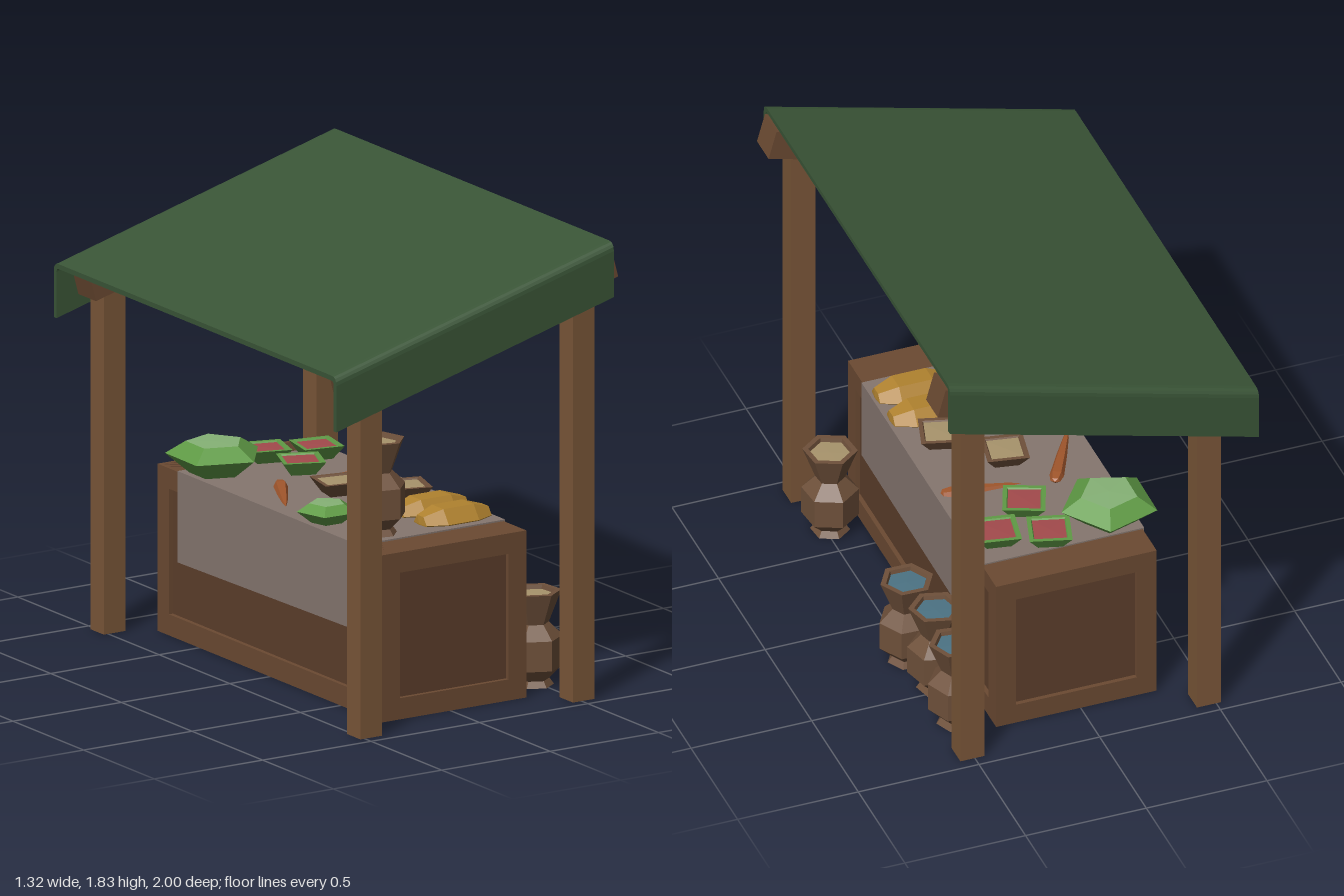
import * as THREE from 'three';

const mat = (color, side = THREE.FrontSide) =>
  new THREE.MeshStandardMaterial({ color, flatShading: true, side });
const M = {
  canopy: mat(0x3a5537), post: mat(0x7a5638), counter: mat(0x6b4a32), panel: mat(0x5c3e2b),
  cloth: mat(0x85766f), jar: mat(0x6e503a), green: mat(0x5f9a45), paleGreen: mat(0x86b276),
  red: mat(0xa34a4c), grain: mat(0xa8946c), water: mat(0x4c7384), bread: mat(0xb0822f), carrot: mat(0xa0562c),
};
const TOP = 0.68; // height of the covered table top

export function createModel() {
  const root = new THREE.Group();
  const add = (name, geo, material, x = 0, y = 0, z = 0, parent = root) => {
    const m = new THREE.Mesh(geo, material);
    m.name = name;
    m.position.set(x, y, z);
    parent.add(m);
    return m;
  };
  const group = (name, x, y, z, turn = 0) => {
    const g = new THREE.Group();
    g.name = name;
    g.position.set(x, y, z);
    g.rotation.y = turn;
    root.add(g);
    return g;
  };
  const lathe = (pts, sides) =>
    new THREE.LatheGeometry(pts.map(p => new THREE.Vector2(...p)), sides);
  const disc = (r, sides) => lathe([[r, 0], [0, 0.002]], sides);

  // Canopy: a channel with rounded shoulders, sheared so it climbs towards +x
  const slope = 0.273, len = 1.28, h = 0.22, t = 0.02, r = 0.035;
  const s = new THREE.Shape();
  s.moveTo(-1, -h);
  s.lineTo(-1 + t, -h);
  s.lineTo(-1 + t, -r);
  s.quadraticCurveTo(-1 + t, -t, -1 + r, -t);
  s.lineTo(1 - r, -t);
  s.quadraticCurveTo(1 - t, -t, 1 - t, -r);
  s.lineTo(1 - t, -h);
  s.lineTo(1, -h);
  s.lineTo(1, -r);
  s.quadraticCurveTo(1, 0, 1 - r, 0);
  s.lineTo(-1 + r, 0);
  s.quadraticCurveTo(-1, 0, -1, -r);
  s.closePath();
  const canopy = new THREE.ExtrudeGeometry(s, { depth: len, bevelEnabled: false, curveSegments: 4 });
  canopy.translate(0, 0, -len / 2).rotateY(Math.PI / 2);
  const cp = canopy.attributes.position;
  for (let i = 0; i < cp.count; i++) cp.setY(i, cp.getY(i) + slope * cp.getX(i));
  canopy.computeVertexNormals();
  add('canopy', canopy, M.canopy, -0.02, 1.657, 0);

  // Posts and sloping rafters
  const angle = Math.atan(slope), raf = 1.27;
  for (const z of [-0.908, 0.908]) {
    add('frontPost', new THREE.BoxGeometry(0.1, 1.66, 0.095), M.post, 0.51, 0.83, z);
    add('backPost', new THREE.BoxGeometry(0.1, 1.4, 0.095), M.post, -0.47, 0.7, z);
    add('rafter', new THREE.BoxGeometry(raf, 0.125, 0.125), M.counter,
      0.643 - raf / 2 * Math.cos(angle), 1.742 - raf / 2 * Math.sin(angle), z).rotation.z = angle;
  }

  // Counter: inner box with a raised frame on each side
  const W = 0.665, H = 0.67, D = 1.59, d = 0.018, cx = 0.0175;
  add('counterBody', new THREE.BoxGeometry(W - 2 * d, H, D - 2 * d), M.panel, cx, H / 2, 0);
  add('counterTop', new THREE.BoxGeometry(W, 0.02, D), M.counter, cx, H - 0.01, 0);
  const frame = (w) => {
    const f = new THREE.Shape([[-w / 2, 0], [w / 2, 0], [w / 2, H], [-w / 2, H]].map(p => new THREE.Vector2(...p)));
    const a = w / 2 - 0.082;
    f.holes.push(new THREE.Path([[-a, 0.085], [-a, 0.588], [a, 0.588], [a, 0.085]].map(p => new THREE.Vector2(...p))));
    return new THREE.ExtrudeGeometry(f, { depth: d, bevelEnabled: false });
  };
  for (let i = 0; i < 4; i++) {
    const turn = i * Math.PI / 2, end = i % 2 === 0;
    const off = (end ? D : W) / 2 - d;
    add('counterFrame', frame(end ? W : D), M.counter,
      cx + Math.sin(turn) * off, 0, Math.cos(turn) * off).rotation.y = turn;
  }

  // Tablecloth draped over both long sides
  const o = W / 2 + 0.006, n = W / 2 - 0.002;
  const drape = new THREE.Shape([[-o, 0.32], [-n, 0.32], [-n, 0.668], [n, 0.668], [n, 0.32], [o, 0.32], [o, 0.676], [-o, 0.676]]
    .map(p => new THREE.Vector2(...p)));
  const cloth = new THREE.ExtrudeGeometry(drape, { depth: 1.28, bevelEnabled: false }).translate(0, 0, -0.64);
  const q = cloth.attributes.position;
  for (let i = 0; i < q.count; i++) if (q.getY(i) < 0.5) q.setY(i, 0.32 + 0.016 * q.getZ(i));
  cloth.computeVertexNormals();
  add('tablecloth', cloth, M.cloth, cx, 0, -0.005);

  // Jars: six-sided, one on the table and four on the ground
  const jarGeo = lathe([[0, 0], [0.078, 0], [0.06, 0.025], [0.112, 0.075], [0.112, 0.195], [0.058, 0.25],
    [0.108, 0.378], [0.085, 0.378], [0.078, 0.355]], 6);
  for (const [x, y, z, turn, fill] of [
    [-0.165, TOP - 0.003, 0.535, 0.3, M.grain], [0.48, 0, 0.65, 0.1, M.grain],
    [0.51, 0, -0.25, 0.5, M.water], [0.47, 0, -0.46, 0.25, M.water], [0.48, 0, -0.7, 0.4, M.water]]) {
    const g = group('jar', x, y, z, turn);
    add('jarBody', jarGeo, M.jar, 0, 0, 0, g);
    add('jarContents', disc(0.082, 6), fill, 0, 0.362, 0, g);
  }

  // Open dishes: green rinds with red flesh, wooden bowls with grain
  const dishGeo = lathe([[0, 0], [0.068, 0], [0.118, 0.056], [0.095, 0.056], [0.085, 0.045]], 4);
  const dish = (name, shell, fill, x, z, turn) => {
    const g = group(name, x, TOP - 0.003, z, turn);
    add(name + 'Shell', dishGeo, shell, 0, 0, 0, g);
    add(name + 'Filling', disc(0.092, 4), fill, 0, 0.05, 0, g);
  };
  dish('melon', M.green, M.red, 0.05, -0.59, 0.5);
  dish('melon', M.green, M.red, 0.24, -0.52, 0.6);
  dish('melon', M.green, M.red, 0.07, -0.37, 0.4);
  dish('bowl', M.jar, M.grain, 0.02, -0.035, 0.6);
  dish('bowl', M.jar, M.grain, 0.21, 0.16, 0.5);

  // Leafy cabbages
  for (const [x, z, k, turn] of [[-0.215, -0.54, 1, 0.3], [-0.24, 0.29, 0.62, 0.6]]) {
    const g = group('cabbage', x, TOP - 0.003, z, turn);
    g.scale.set(k, k * 1.02, k);
    add('cabbageLeaves', lathe([[0, 0], [0.1, 0], [0.195, 0.075], [0.115, 0.124]], 5), M.green, 0, 0, 0, g);
    add('cabbageHeart', disc(0.115, 5), M.paleGreen, 0, 0.124, 0, g);
  }

  // Loaves lying across the table
  for (const z of [0.52, 0.36]) {
    const loaf = lathe([[0, -0.155], [0.045, -0.15], [0.08, -0.07], [0.08, 0.07], [0.045, 0.15], [0, 0.155]], 6);
    add('loaf', loaf.rotateZ(Math.PI / 2).scale(1, 0.8, 1), M.bread, 0.19, TOP, z);
  }

  // Carrots, each from its thick end to its tip
  for (const [x1, z1, x2, z2] of [[0.34, -0.17, 0.02, -0.22], [-0.1, -0.26, -0.28, 0.06]]) {
    const L = Math.hypot(x2 - x1, z2 - z1);
    const c = lathe([[0, 0], [0.02, 0.01], [0.03, 0.05], [0.022, L * 0.5], [0.012, L * 0.8], [0, L]], 5);
    c.rotateX(Math.PI / 2).scale(1, 0.6, 1);
    add('carrot', c, M.carrot, x1, TOP + 0.01, z1).rotation.y = Math.atan2(x2 - x1, z2 - z1);
  }
  return root;
}
